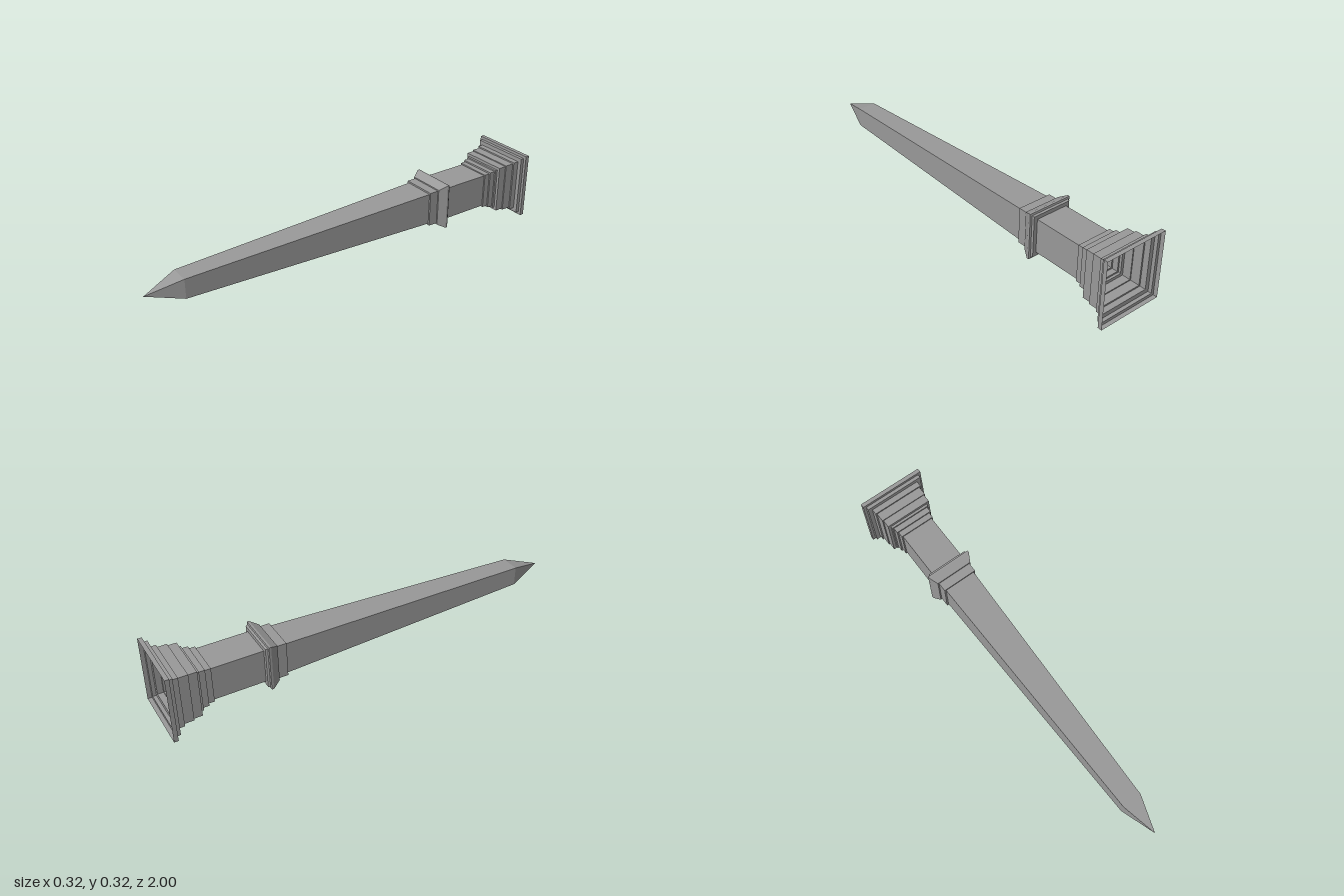
import * as THREE from 'three';

const CENTRE_Y = 0.162;

// Square shell along z from [halfWidth, z] pairs, back to front
function squareShell(name, profile) {
  const points = profile.map(([w, z]) => new THREE.Vector2(w * Math.SQRT2, z));
  const geometry = new THREE.LatheGeometry(points, 4, Math.PI / 4);
  geometry.rotateX(Math.PI / 2);
  geometry.translate(0, CENTRE_Y, 0);
  const material = new THREE.MeshStandardMaterial({
    color: 0x999999, flatShading: true, side: THREE.DoubleSide,
  });
  const mesh = new THREE.Mesh(geometry, material);
  mesh.name = name;
  return mesh;
}

// Turns [halfWidth, endZ] treads into a square-edged stepped profile
function steps(startZ, treads) {
  let z = startZ;
  return treads.flatMap(([w, endZ]) => {
    const tread = [[w, z], [w, endZ]];
    z = endZ;
    return tread;
  });
}

export function createModel() {
  const group = new THREE.Group();
  group.name = 'squareSpire';
  group.add(
    // Stepped foot, open at the back
    squareShell('footPlate', [
      ...steps(-1, [[0.162, -0.98], [0.148, -0.963]]), [0.128, -0.963],
    ]),
    squareShell('footMoulding', [
      ...steps(-0.963, [
        [0.128, -0.935], [0.121, -0.89], [0.116, -0.85], [0.102, -0.838],
        [0.095, -0.81], [0.088, -0.782],
      ]),
      [0.082, -0.782],
    ]),
    squareShell('pedestal', [[0.082, -0.782], [0.082, -0.54]]),
    // Flared collar
    squareShell('collar', [
      [0.082, -0.54], [0.1, -0.54], [0.103, -0.53], [0.112, -0.528], [0.112, -0.518],
      [0.092, -0.48], [0.086, -0.48], [0.086, -0.435], [0.078, -0.435],
    ]),
    // Long tapering shaft and pyramid point
    squareShell('shaft', [[0.078, -0.435], [0.047, 0.835]]),
    squareShell('point', [[0.047, 0.835], [0, 1]]),
  );
  return group;
}
